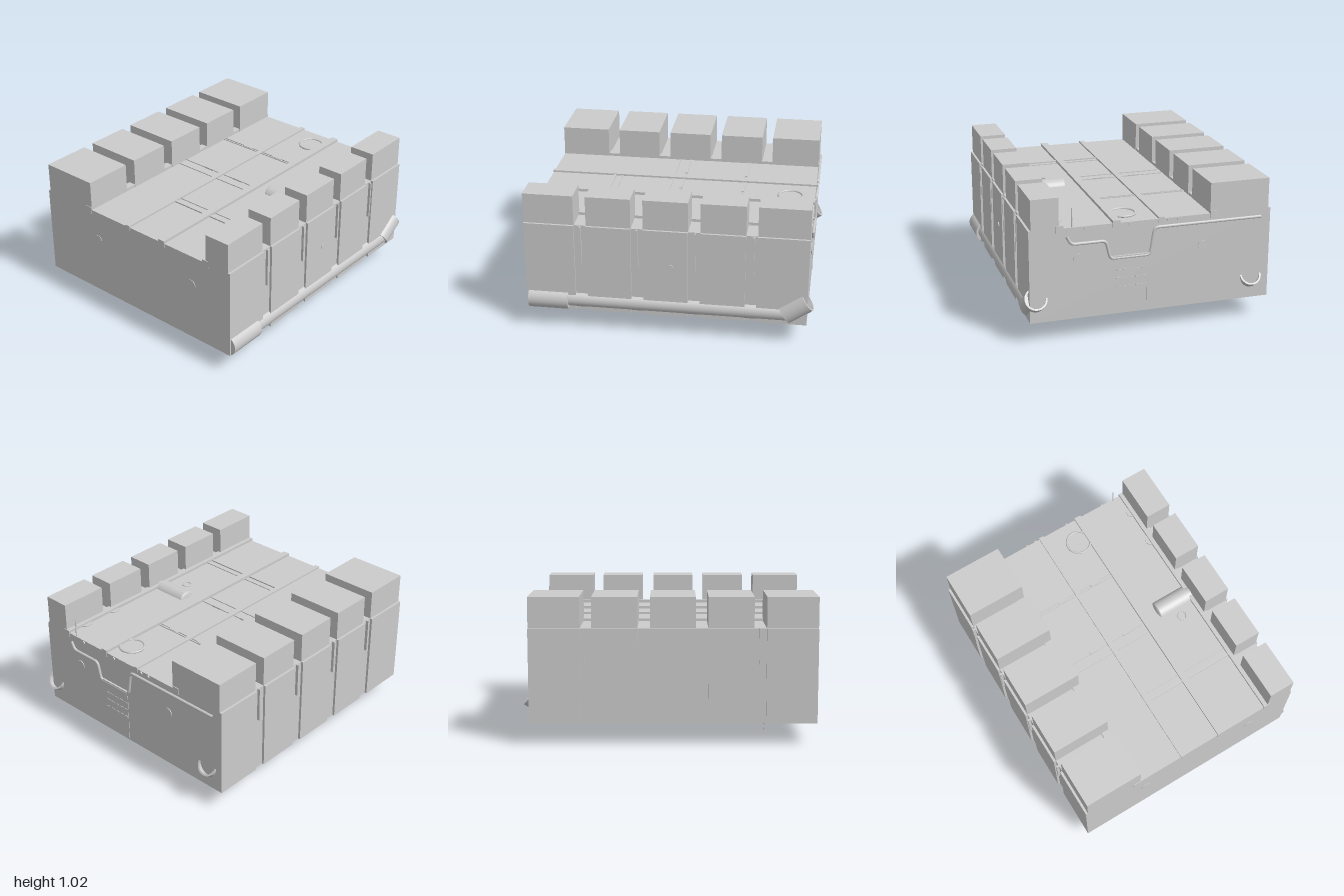
import * as THREE from 'three';

const V = (x, y, z) => new THREE.Vector3(x, y, z);

export function createModel() {
  const root = new THREE.Group();
  const mat = new THREE.MeshStandardMaterial({ color: 0xcccccc });
  const openMat = new THREE.MeshStandardMaterial({ color: 0xcccccc, side: THREE.DoubleSide });

  const add = (name, geo, m = mat) => {
    const mesh = new THREE.Mesh(geo, m);
    mesh.name = name;
    root.add(mesh);
    return mesh;
  };
  // box given by its min and max on each axis
  const box = (name, x0, x1, y0, y1, z0, z1) =>
    add(name, new THREE.BoxGeometry(x1 - x0, y1 - y0, z1 - z0))
      .position.set((x0 + x1) / 2, (y0 + y1) / 2, (z0 + z1) / 2);
  // cylinder between two points
  const rod = (name, a, b, r, sides = 32, open = false) => {
    const d = b.clone().sub(a);
    const mesh = add(name, new THREE.CylinderGeometry(r, r, d.length(), sides, 1, open), open ? openMat : mat);
    mesh.position.copy(a).addScaledVector(d, 0.5);
    mesh.quaternion.setFromUnitVectors(V(0, 1, 0), d.normalize());
    return mesh;
  };

  // main hull
  const Y0 = 0.155, Y1 = 0.805, Z0 = -0.975, Z1 = 0.99;
  box('hull', -0.855, 0.82, Y0, Y1, Z0, Z1);

  // side panels, with a raised block above each one
  const bays = [[0.64, Z1], [0.245, 0.555], [-0.15, 0.16], [-0.545, -0.235], [Z0, -0.625]];
  for (const [a, b] of bays) {
    box('leftSidePanel', -0.872, -0.8, Y0, Y1, a, b);
    box('rightSidePanel', 0.78, 0.836, Y0, Y1, a, b);
    box('leftBlock', -0.855, -0.43, Y1 - 0.02, 1.02, a, b);
    box('rightBlock', 0.63, 0.82, Y1 - 0.02, 1.02, a, b);
  }
  // thin straps in the grooves between panels
  for (const z of [0.595, 0.2, -0.2, -0.6]) {
    box('leftGrooveStrap', -0.876, -0.85, 0.56, 0.81, z - 0.006, z + 0.006);
    box('rightGrooveStrap', 0.81, 0.838, 0.52, 0.8, z - 0.006, z + 0.006);
  }

  // long deck rails
  for (const [x0, x1, y0, y1] of [[-0.485, -0.432, 0.775, 0.825], [-0.097, -0.06, 0.78, 0.818],
    [0.21, 0.262, 0.775, 0.825], [0.6, 0.652, 0.775, 0.825]])
    box('deckRail', x0, x1, y0, y1, Z0 - 0.005, Z1 + 0.004);

  // cross ribs on the deck
  for (const [z, w] of [[-0.46, 0.008], [-0.44, 0.008], [0, 0.01], [0.08, 0.006]])
    box('deckRib', -0.43, 0.21, 0.8, 0.811, z - w / 2, z + w / 2);
  for (const z of [-0.45, 0.0])
    for (const x of [-0.19, 0.085]) box('deckHandle', x - 0.05, x + 0.03, 0.8, 0.815, z - 0.009, z + 0.009);
  box('deckRib', -0.06, 0.6, 0.8, 0.811, 0.46, 0.468);
  box('deckRib', -0.06, 0.6, 0.8, 0.814, 0.51, 0.53);

  // round hatches on the deck
  const hatch = (name, x, y, z, r, t) => {
    const ring = add(name, new THREE.TorusGeometry(r - t, t, 8, 40));
    ring.rotation.x = Math.PI / 2;
    ring.position.set(x, y, z);
  };
  hatch('largeHatchRing', 0.14, 0.812, -0.8, 0.095, 0.008);
  rod('largeHatch', V(0.14, 0.79, -0.8), V(0.14, 0.81, -0.8), 0.085);
  hatch('smallHatchRing', 0.48, 0.81, 0.1, 0.035, 0.004);
  for (const z of [-0.81, -0.54]) {
    rod('deckPlug', V(0.615, 0.79, z), V(0.615, 0.812, z), 0.045);
    rod('bottomPlug', V(0.615, 0.151, z), V(0.615, 0.17, z), 0.045);
  }

  // horizontal drum on the deck, domed at its inner end
  rod('deckDrum', V(0.355, 0.775, -0.035), V(0.6, 0.775, -0.035), 0.072);
  rod('deckDrumNeck', V(0.6, 0.775, -0.035), V(0.64, 0.775, -0.035), 0.06);
  const dome = add('deckDrumCap', new THREE.SphereGeometry(0.072, 32, 12, 0, Math.PI * 2, 0, Math.PI / 2));
  dome.scale.y = 0.28;
  dome.rotation.z = Math.PI / 2;
  dome.position.set(0.355, 0.775, -0.035);

  rod('antenna', V(0.54, 0.79, -0.965), V(0.54, 0.94, -0.965), 0.004, 8);

  // lower pipes with a wide front sleeve and a tilted open outlet at the back
  for (const x of [0.793, -0.742]) {
    rod('lowerPipe', V(x, 0.225, 0.72), V(x, 0.225, -0.86), 0.06);
    rod('pipeSleeve', V(x, 0.218, 0.695), V(x, 0.218, 0.978), 0.078);
    const a = V(x, 0.22, -0.82), b = V(x, 0.328, -0.976);
    rod('pipeOutlet', a, b, 0.078, 32, true);
    rod('pipeOutletLining', a, b, 0.066, 32, true);
    rod('pipeOutletPlug', a, a.clone().lerp(b, 0.75), 0.077);
    const lip = add('pipeOutletLip', new THREE.RingGeometry(0.066, 0.078, 32), openMat);
    lip.position.copy(b);
    lip.quaternion.setFromUnitVectors(V(0, 0, 1), b.clone().sub(a).normalize());
  }

  // round plugs in the front, back and right faces
  for (const x of [-0.38, 0.5]) {
    rod('frontPlug', V(x, 0.582, 0.97), V(x, 0.582, Z1 + 0.004), 0.036);
    rod('backPlug', V(x, 0.582, -0.96), V(x, 0.582, Z0 - 0.005), 0.036);
  }
  rod('sidePlug', V(0.82, 0.535, -0.03), V(0.842, 0.535, -0.03), 0.02, 20);

  // hose along the back face
  const path = new THREE.CurvePath();
  const pts = [[0.58, 0.75], [0.55, 0.69], [0.31, 0.69], [0.28, 0.56], [0.0, 0.56], [-0.03, 0.75], [-0.8, 0.75]]
    .map(([x, y]) => V(x, y, Z0 - 0.006));
  let from = pts[0];
  for (let i = 1; i < pts.length - 1; i++) {
    const p = pts[i];
    const before = p.clone().add(pts[i - 1].clone().sub(p).setLength(0.03));
    const after = p.clone().add(pts[i + 1].clone().sub(p).setLength(0.03));
    path.add(new THREE.LineCurve3(from, before));
    path.add(new THREE.QuadraticBezierCurve3(before, p, after));
    from = after;
  }
  path.add(new THREE.LineCurve3(from, pts[pts.length - 1]));
  add('backHose', new THREE.TubeGeometry(path, 160, 0.011, 8));
  box('hoseGuard', 0.02, 0.26, 0.545, 0.575, Z0 - 0.014, Z0 + 0.01);

  // back seam and vent slots
  box('backSeam', 0.017, 0.023, Y0, 0.53, Z0 - 0.003, Z0 + 0.01);
  for (let r = 0; r < 3; r++)
    for (let c = 0; c < 5; c++) {
      const x = 0.22 - c * 0.045, y = 0.47 - r * 0.06;
      box('backVent', x - 0.014, x + 0.014, y - 0.004, y + 0.004, Z0 - 0.004, Z0 + 0.01);
    }
  // bolts along the top of the back
  for (const x of [0.45, 0.14, -0.13, -0.2])
    rod('backBolt', V(x, 0.79, -0.96), V(x, 0.79, Z0 - 0.01), 0.012, 12);

  // underside slots, seam and drain plugs
  for (let i = 0; i < 9; i++) {
    const z = -0.49 + i * 0.106;
    box('bottomSlot', 0.44, 0.56, 0.151, 0.165, z - 0.006, z + 0.006);
  }
  box('bottomSeam', -0.543, -0.537, 0.152, 0.165, -0.06, 0.83);
  for (const [x, z] of [[0.2, 0.75], [0.2, 0.3], [-0.1, 0.6], [0.05, -0.3]])
    rod('drainPlug', V(x, 0.15, z), V(x, 0.17, z), 0.02, 20);

  // hanging chain
  for (let i = 0; i < 7; i++) {
    const link = add('chainLink', new THREE.TorusGeometry(0.009, 0.003, 6, 14));
    link.scale.y = 1.45;
    link.rotation.y = (i % 2) * Math.PI / 2;
    link.position.set(-0.382, 0.0175 + i * 0.022, 0.66);
  }
  return root;
}
